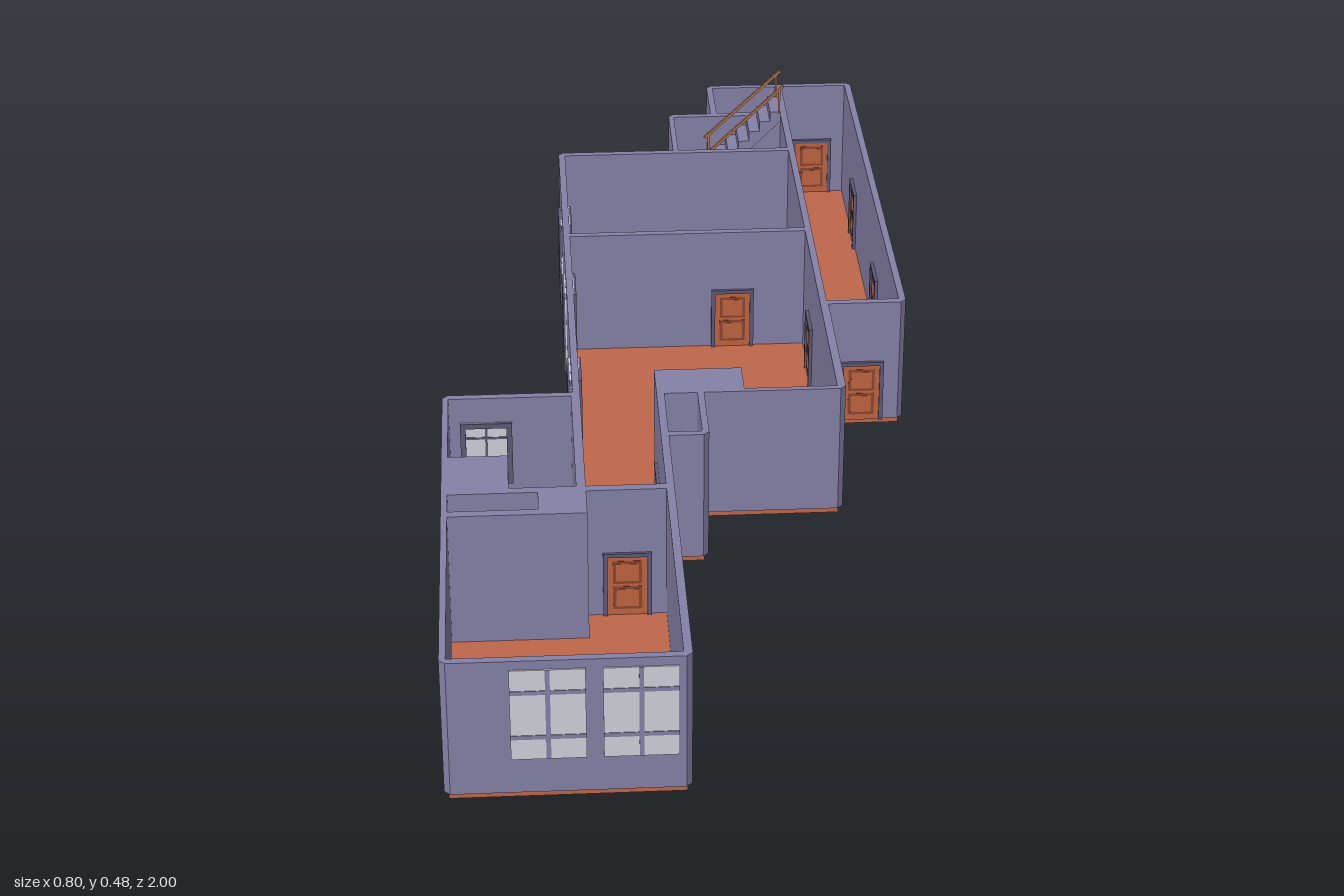
import * as THREE from 'three';

const mat = (color) => new THREE.MeshStandardMaterial({ color });
const wallMat = mat(0x8681a8), floorMat = mat(0xc0674a), frameMat = mat(0x5d5a78);
const doorMat = mat(0xc0653f), grooveMat = mat(0x8a4630), glassMat = mat(0xd2d3db), railMat = mat(0xb0714c);

const rect = (x0, x1, z0, z1) => [[x0, z1], [x1, z1], [x1, z0], [x0, z0]];

// Inset a right-angled outline (counter-clockwise seen from above) by d
function inset(poly, d) {
  const n = poly.length;
  return poly.map((p, i) => {
    const a = poly[(i + n - 1) % n], b = poly[(i + 1) % n];
    let [x, z] = p;
    for (const [s, e] of [[a, p], [p, b]]) {
      x += Math.sign(e[1] - s[1]) * d;
      z -= Math.sign(e[0] - s[0]) * d;
    }
    return [x, z];
  });
}

// Cut the outward corners of an outline
function chamfer(poly, c) {
  const n = poly.length, out = [];
  poly.forEach((p, i) => {
    const a = poly[(i + n - 1) % n], b = poly[(i + 1) % n];
    const u = [Math.sign(p[0] - a[0]), Math.sign(p[1] - a[1])];
    const v = [Math.sign(b[0] - p[0]), Math.sign(b[1] - p[1])];
    if (u[0] * v[1] - u[1] * v[0] < 0) {
      out.push([p[0] - u[0] * c, p[1] - u[1] * c], [p[0] + v[0] * c, p[1] + v[1] * c]);
    } else out.push(p);
  });
  return out;
}

// Raise a floor plan, with holes, from y0 to y1
function plan(name, outline, holes, y0, y1, material) {
  const pts = (poly) => poly.map(([x, z]) => new THREE.Vector2(x, -z));
  const shape = new THREE.Shape(pts(outline));
  shape.holes = holes.map((h) => new THREE.Path(pts(h)));
  const geo = new THREE.ExtrudeGeometry(shape, { depth: y1 - y0, bevelEnabled: false });
  geo.rotateX(-Math.PI / 2).translate(0, y0, 0);
  const mesh = new THREE.Mesh(geo, material);
  mesh.name = name;
  return mesh;
}

function box(name, w, h, d, x, y, z, material) {
  const mesh = new THREE.Mesh(new THREE.BoxGeometry(w, h, d), material);
  mesh.position.set(x, y, z);
  mesh.name = name;
  return mesh;
}

// Two-panel door, the same on both faces of the wall
function door() {
  const g = new THREE.Group();
  g.name = 'door';
  for (const s of [-1, 1]) g.add(box('doorJamb', 0.007, 0.115, 0.024, s * 0.035, 0.0575, 0, frameMat));
  g.add(box('doorHead', 0.077, 0.007, 0.024, 0, 0.1115, 0, frameMat));
  g.add(box('doorLeaf', 0.063, 0.108, 0.018, 0, 0.054, 0, doorMat));
  for (const y of [0.032, 0.079]) {
    g.add(box('doorGroove', 0.046, 0.042, 0.0192, 0, y, 0, grooveMat));
    g.add(box('doorPanel', 0.036, 0.032, 0.0204, 0, y, 0, doorMat));
  }
  return g;
}

// Window with a centre bar and two cross bars; the frame is optional
function sash(w, h, framed) {
  const g = new THREE.Group(), bar = framed ? frameMat : wallMat, t = framed ? 0.004 : 0.007;
  g.name = 'window';
  g.add(box('glass', w, h, 0.0165, 0, h / 2, 0, glassMat));
  g.add(box('centreBar', t, h, 0.0185, 0, h / 2, 0, bar));
  for (const k of [0.25, 0.75]) g.add(box('crossBar', w, t, 0.0185, 0, h * k, 0, bar));
  if (framed) {
    for (const s of [-1, 1]) {
      g.add(box('sideFrame', 0.009, h, 0.024, s * (w / 2 - 0.0045), h / 2, 0, frameMat));
      g.add(box('endFrame', w, 0.009, 0.024, 0, h / 2 + s * (h / 2 - 0.0045), 0, frameMat));
    }
  }
  return g;
}

// Flight of steps with a sloping underside
function flight(name, x0, y0, run, rise, count, z0, z1) {
  const s = new THREE.Shape();
  s.moveTo(x0, y0);
  for (let i = 0; i < count; i++) {
    s.lineTo(x0 + i * run, y0 + (i + 1) * rise);
    s.lineTo(x0 + (i + 1) * run, y0 + (i + 1) * rise);
  }
  s.lineTo(x0 + count * run, y0 + (count - 1) * rise);
  s.lineTo(x0 + run, y0);
  const geo = new THREE.ExtrudeGeometry(s, { depth: z1 - z0, bevelEnabled: false });
  const mesh = new THREE.Mesh(geo.translate(0, 0, z0), wallMat);
  mesh.name = name;
  return mesh;
}

export function createModel() {
  const house = new THREE.Group();
  house.name = 'house';
  const low = 0.15, high = 0.38;

  // Whole footprint
  const outline = [[-0.4, 0.997], [-0.037, 0.997], [-0.037, 0.372], [0.028, 0.372], [0.028, 0.235],
    [0.262, 0.235], [0.262, -0.062], [0.397, -0.062], [0.397, -0.995], [0.112, -0.995],
    [0.112, -0.863], [0.03, -0.863], [0.03, -0.7], [-0.187, -0.7], [-0.187, 0.222], [-0.4, 0.222]];
  const stairwell = rect(0.04, 0.247, -0.85, -0.7);

  // Rooms cut out of the wall mass
  const rooms = [
    [[-0.39, 0.985], [-0.05, 0.985], [-0.05, 0.535], [-0.175, 0.535], [-0.175, 0.6], [-0.39, 0.6]],
    rect(-0.39, -0.25, 0.535, 0.585),
    [[-0.39, 0.42], [-0.295, 0.42], [-0.295, 0.52], [-0.19, 0.52], [-0.19, 0.235], [-0.39, 0.235]],
    [[-0.175, 0.52], [-0.05, 0.52], [-0.05, 0.155], [0.095, 0.155], [0.095, 0.225], [0.248, 0.225],
      [0.248, -0.346], [-0.175, -0.346]],
    rect(-0.037, 0.017, 0.235, 0.36),
    rect(-0.175, 0.248, -0.687, -0.359),
    rect(0.26, 0.385, -0.983, -0.075),
    rect(0.124, 0.247, -0.983, -0.865),
    stairwell,
  ];
  house.add(plan('walls', chamfer(outline, 0.009), rooms, low, high, wallMat));
  house.add(plan('floor', inset(outline, 0.007), [stairwell], 0.138, low, floorMat));

  // Sunken stairwell with its landing
  house.add(plan('stairwellWalls', chamfer(rect(0.03, 0.262, -0.863, -0.688), 0.007), [stairwell], 0.015, 0.148, wallMat));
  house.add(box('landing', 0.067, 0.015, 0.16, 0.078, 0.0078, -0.775, floorMat));
  house.add(flight('lowerStairs', 0.107, 0.015, 0.02, 0.0193, 7, -0.775, -0.7));
  house.add(flight('upperStairs', 0.1, 0.28, 0.02, 0.02, 7, -0.85, -0.776));

  // Handrails on both sides of the upper flight
  for (const z of [-0.775, -0.847]) {
    const rail = box('handrail', 0.2, 0.005, 0.005, 0.172, 0.405, z, railMat);
    rail.rotation.z = Math.atan2(0.095, 0.1);
    house.add(rail);
    house.add(box('topPost', 0.004, 0.05, 0.004, 0.237, 0.443, z, railMat));
    house.add(box('bottomPost', 0.004, 0.05, 0.004, 0.107, 0.322, z, railMat));
  }

  const place = (part, x, y, z, turned) => {
    part.position.set(x, y, z);
    if (turned) part.rotation.y = Math.PI / 2;
    house.add(part);
  };

  // Doors: x, z, turned to a side wall
  for (const [x, z, turned] of [
    [0.323, -0.0685, false], [0.323, -0.989, false], [0.391, -0.4, true], [0.391, -0.76, true],
    [0.254, -0.22, true], [0.254, -0.92, true], [0.118, -0.3525, false],
    [-0.0435, 0.3, true], [-0.112, 0.5275, false], [-0.1825, 0.46, true],
  ]) place(door(), x, low, z, turned);

  // Large front windows
  for (const x of [-0.246, -0.111]) place(sash(0.11, 0.155, false), x, 0.21, 0.991, false);

  // Tall side windows
  for (const z of [-0.49, -0.22, 0.09]) place(sash(0.08, 0.155, true), -0.181, 0.195, z, true);

  // Back bedroom and stairwell windows
  place(sash(0.085, 0.115, true), -0.33, 0.22, 0.2285, false);
  place(sash(0.08, 0.125, true), 0.035, 0.095, -0.785, true);

  return house;
}
